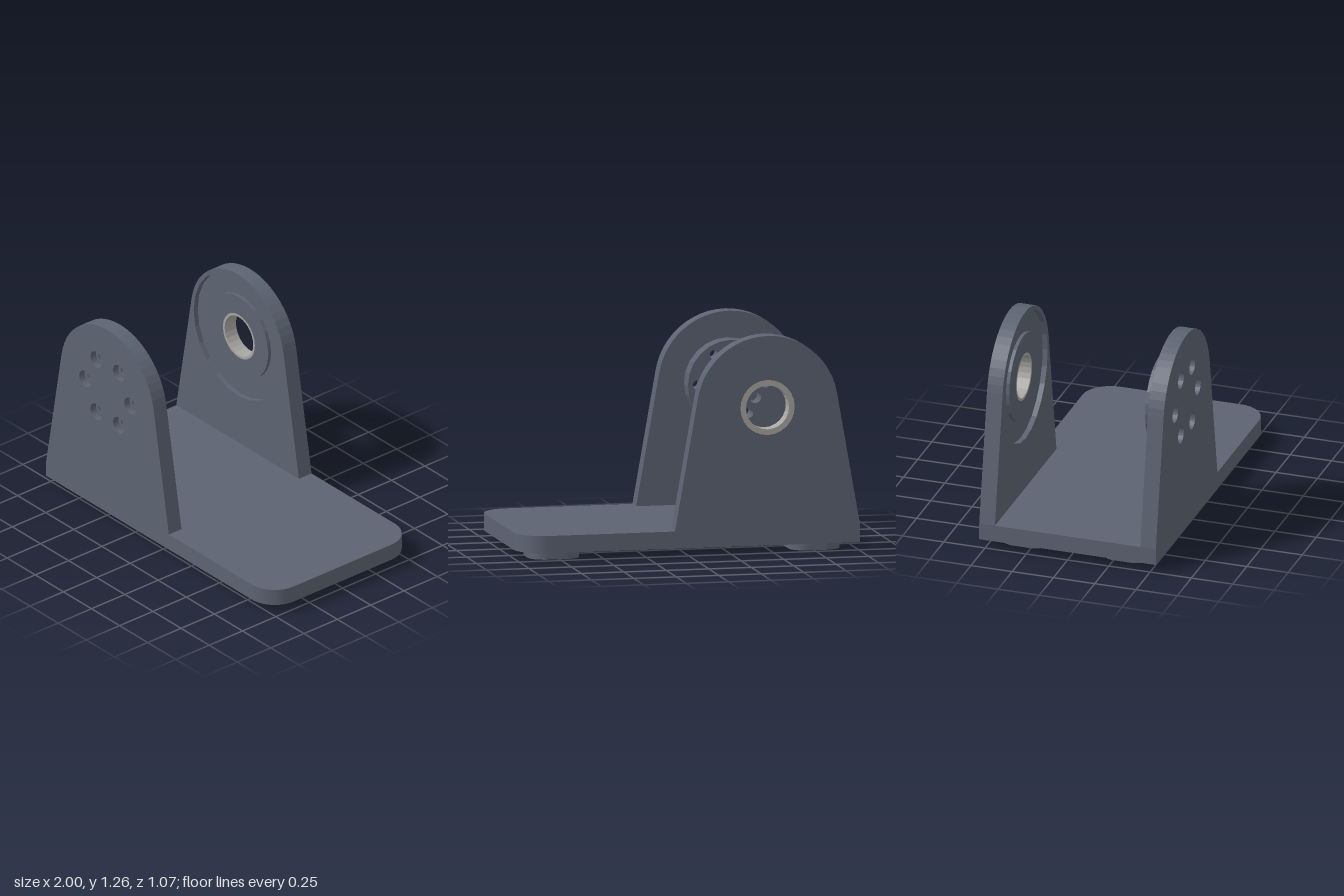
import * as THREE from 'three';

const CX = -0.455, CY = 0.85, R = 0.415; // pivot axis and cheek crown radius

export function createModel() {
  const root = new THREE.Group();
  root.name = 'pivotBracket';
  const body = new THREE.MeshStandardMaterial({ name: 'slate grey', color: 0x5c6372 });
  const metal = new THREE.MeshStandardMaterial({ name: 'bearing metal', color: 0xa8a6a2 });

  // Extrude a shape between two z values
  const slab = (parent, name, shape, z0, z1, mat = body, seg = 12) => {
    const g = new THREE.ExtrudeGeometry(shape, { depth: z1 - z0, bevelEnabled: false, curveSegments: seg });
    g.translate(0, 0, z0);
    const m = new THREE.Mesh(g, mat);
    m.name = name;
    parent.add(m);
    return m;
  };
  // Extrude a plan shape between two heights
  const plate = (name, shape, y0, y1) => {
    const m = slab(root, name, shape, y0, y1, body, 8);
    m.geometry.rotateX(-Math.PI / 2);
    return m;
  };
  const circle = (r, x = CX, y = CY) => new THREE.Shape().absarc(x, y, r, 0, Math.PI * 2, false);
  const withHoles = (shape, holes) => {
    shape.holes.push(...holes);
    return shape;
  };
  // Circles spaced evenly around the pivot axis
  const ringOf = (n, ringR, r, start) => Array.from({ length: n }, (_, i) => {
    const a = start + (i * Math.PI * 2) / n;
    return circle(r, CX + ringR * Math.cos(a), CY + ringR * Math.sin(a));
  });
  // Tapered cheek outline with a round crown
  const cheek = () => {
    const s = new THREE.Shape();
    const t = THREE.MathUtils.degToRad(10);
    s.moveTo(-1, 0.15);
    s.lineTo(0.09, 0.15);
    s.absarc(CX, CY, R, t, Math.PI - t, false);
    s.lineTo(-1, 0.15);
    return s;
  };

  // Base plate, rounded at the free end only
  const base = new THREE.Shape();
  base.moveTo(-1, -0.535);
  base.lineTo(0.83, -0.535);
  base.absarc(0.83, -0.365, 0.17, -Math.PI / 2, 0, false);
  base.absarc(0.83, 0.365, 0.17, 0, Math.PI / 2, false);
  base.lineTo(-1, 0.535);
  base.closePath();
  plate('basePlate', base, 0.05, 0.15);

  // Four rounded feet
  const h = 0.15, c = 0.1, k = h - c;
  for (const x of [-0.768, 0.765]) {
    for (const z of [-0.305, 0.305]) {
      const foot = new THREE.Shape();
      foot.absarc(k, k, c, 0, Math.PI / 2, false);
      foot.absarc(-k, k, c, Math.PI / 2, Math.PI, false);
      foot.absarc(-k, -k, c, Math.PI, Math.PI * 1.5, false);
      foot.absarc(k, -k, c, Math.PI * 1.5, Math.PI * 2, false);
      plate('foot', foot, 0, 0.05).position.set(x, 0, z);
    }
  }

  // Front cheek: counterbored bolt holes outside, round recess inside
  const front = new THREE.Group();
  front.name = 'frontCheek';
  root.add(front);
  const bolts = (r) => ringOf(6, 0.2, r, 0);
  slab(front, 'cheekOuterFace', withHoles(cheek(), bolts(0.051)), 0.495, 0.535);
  slab(front, 'cheekCore', withHoles(cheek(), bolts(0.028)), 0.47, 0.495);
  slab(front, 'cheekRecessRim', withHoles(cheek(), [circle(0.39)]), 0.44, 0.47);

  // Mounting boss with bolt holes and three larger pin holes
  const pins = ringOf(3, 0.16, 0.036, Math.PI / 2);
  slab(front, 'mountingBoss', withHoles(circle(0.257), [...bolts(0.028), ...pins]), 0.37, 0.47);

  // Back cheek: recess and low collar around the bearing hole
  const back = new THREE.Group();
  back.name = 'backCheek';
  root.add(back);
  slab(back, 'cheekOuterFace', withHoles(cheek(), [circle(0.16)]), -0.535, -0.505);
  slab(back, 'cheekCore', withHoles(cheek(), [circle(0.142)]), -0.505, -0.47);
  slab(back, 'cheekRecessRim', withHoles(cheek(), [circle(0.39)]), -0.47, -0.44);
  slab(back, 'bearingCollar', withHoles(circle(0.262), [circle(0.142)]), -0.47, -0.45);

  // Flanged bearing sleeve
  slab(back, 'bearingFlange', withHoles(circle(0.16), [circle(0.127)]), -0.535, -0.505, metal);
  slab(back, 'bearingSleeve', withHoles(circle(0.142), [circle(0.127)]), -0.505, -0.45, metal);

  return root;
}
